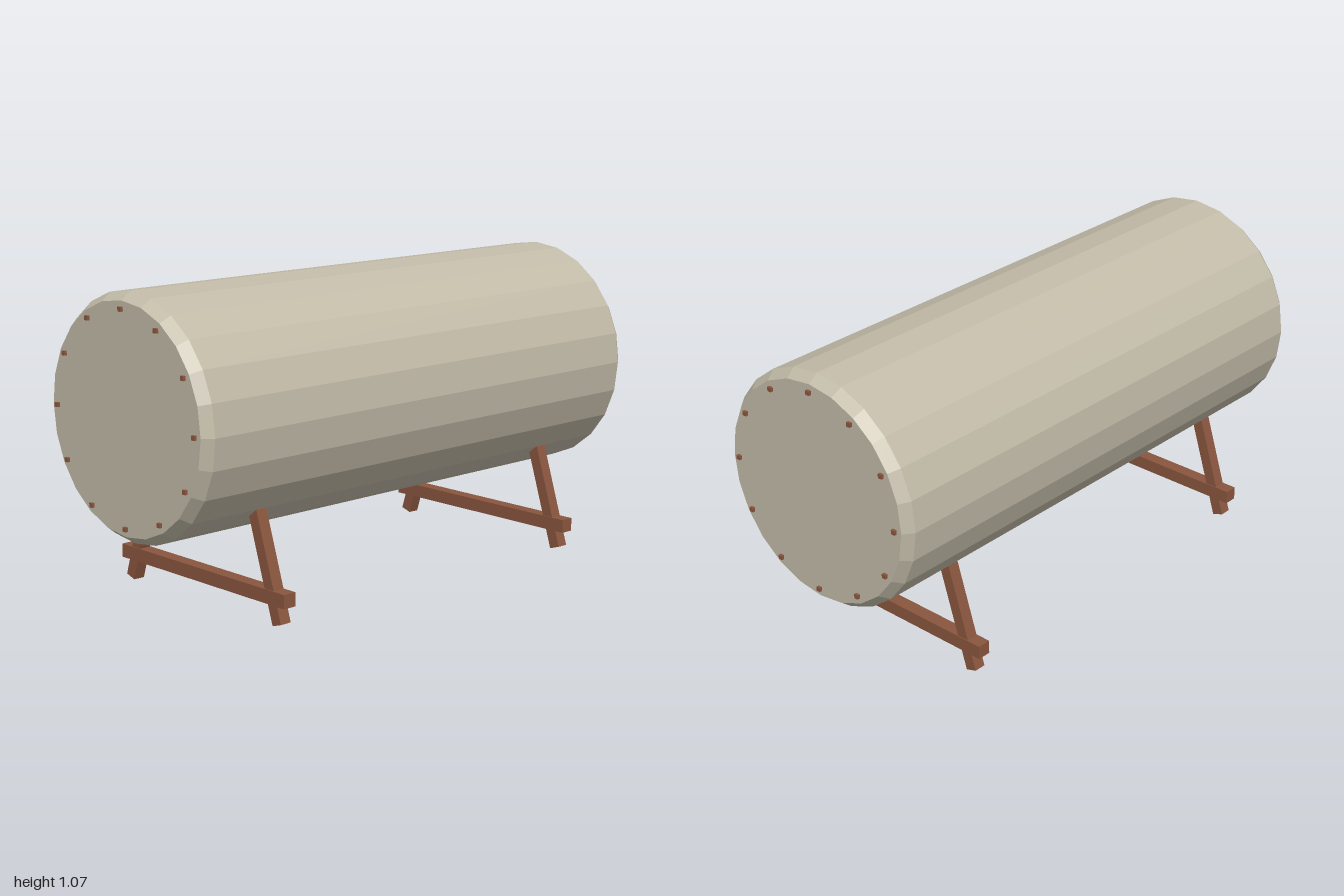
import * as THREE from 'three';

export function createModel() {
  const model = new THREE.Group();
  const drumMat = new THREE.MeshStandardMaterial({ color: 0xc2bba8, flatShading: true });
  drumMat.name = 'pale stone grey';
  const woodMat = new THREE.MeshStandardMaterial({ color: 0x8a563e, flatShading: true });
  woodMat.name = 'reddish brown';

  const add = (parent, name, geometry, material, x, y, z) => {
    const mesh = new THREE.Mesh(geometry, material);
    mesh.name = name;
    mesh.position.set(x, y, z);
    parent.add(mesh);
    return mesh;
  };

  // Drum: 24-sided body with bevelled rims and flat ends, lying along x
  const axisY = 0.658;
  const profile = [
    [0, -0.99], [0.381, -0.99], [0.408, -0.955],
    [0.408, 0.955], [0.381, 0.99], [0, 0.99],
  ].map(([r, y]) => new THREE.Vector2(r, y));
  const drumGeo = new THREE.LatheGeometry(profile, 24).rotateZ(-Math.PI / 2);
  add(model, 'drum', drumGeo, drumMat, 0, axisY, 0);

  // Ring of square studs on each end
  const studGeo = new THREE.BoxGeometry(0.02, 0.015, 0.015);
  for (const side of [-1, 1]) {
    const studs = new THREE.Group();
    studs.name = side > 0 ? 'leftStuds' : 'rightStuds';
    for (let i = 0; i < 12; i++) {
      const a = (i / 12) * Math.PI * 2;
      add(studs, 'stud', studGeo, woodMat,
        side * 0.99, axisY + 0.354 * Math.cos(a), 0.354 * Math.sin(a));
    }
    model.add(studs);
  }

  // Two trestles: a pair of leaning legs joined by a crossbar
  const legGeo = new THREE.BoxGeometry(0.042, 0.45, 0.042);
  const barGeo = new THREE.BoxGeometry(0.048, 0.047, 0.842);
  for (const side of [-1, 1]) {
    const trestle = new THREE.Group();
    trestle.name = side > 0 ? 'leftTrestle' : 'rightTrestle';
    trestle.position.x = side * 0.672;
    for (const dir of [-1, 1]) {
      const leg = add(trestle, dir > 0 ? 'frontLeg' : 'backLeg', legGeo, woodMat, 0, 0.221, dir * 0.313);
      leg.rotation.x = -dir * 0.31;
    }
    add(trestle, 'crossbar', barGeo, woodMat, 0, 0.0935, 0);
    model.add(trestle);
  }

  return model;
}
